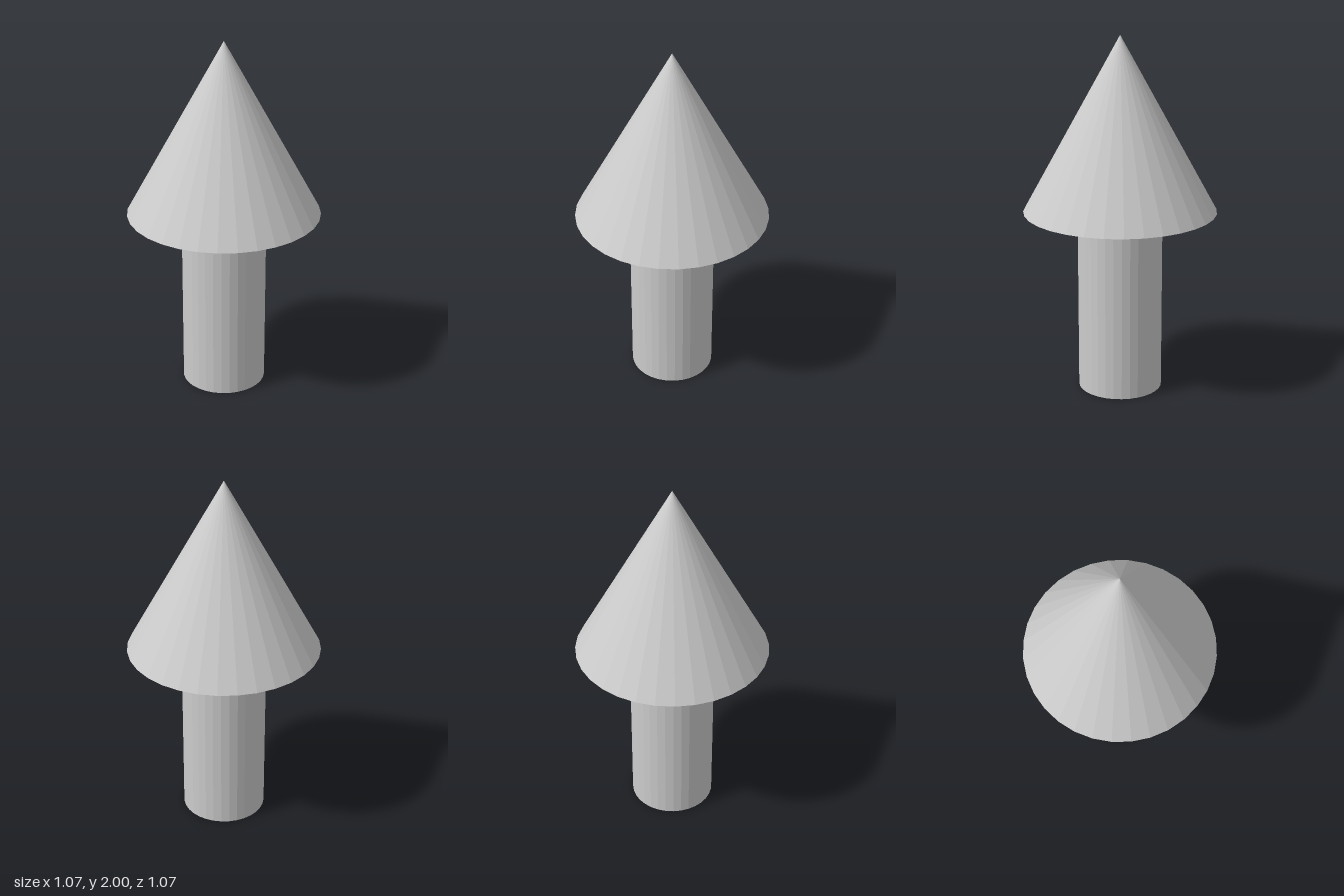
import * as THREE from 'three';

const SIDES = 32;
const HEIGHT = 2;
const HEAD_BASE = 1.03;

export function createModel() {
  const model = new THREE.Group();
  model.name = 'upArrow';
  const material = new THREE.MeshStandardMaterial({ color: 0xcccccc, flatShading: true });

  const add = (name, geometry, y) => {
    const mesh = new THREE.Mesh(geometry, material);
    mesh.name = name;
    mesh.position.y = y;
    model.add(mesh);
  };

  // Round shaft standing on the ground
  add('shaft', new THREE.CylinderGeometry(0.235, 0.235, HEAD_BASE, SIDES), HEAD_BASE / 2);

  // Pointed head resting on the shaft
  add('head', new THREE.ConeGeometry(0.535, HEIGHT - HEAD_BASE, SIDES), (HEIGHT + HEAD_BASE) / 2);

  return model;
}
